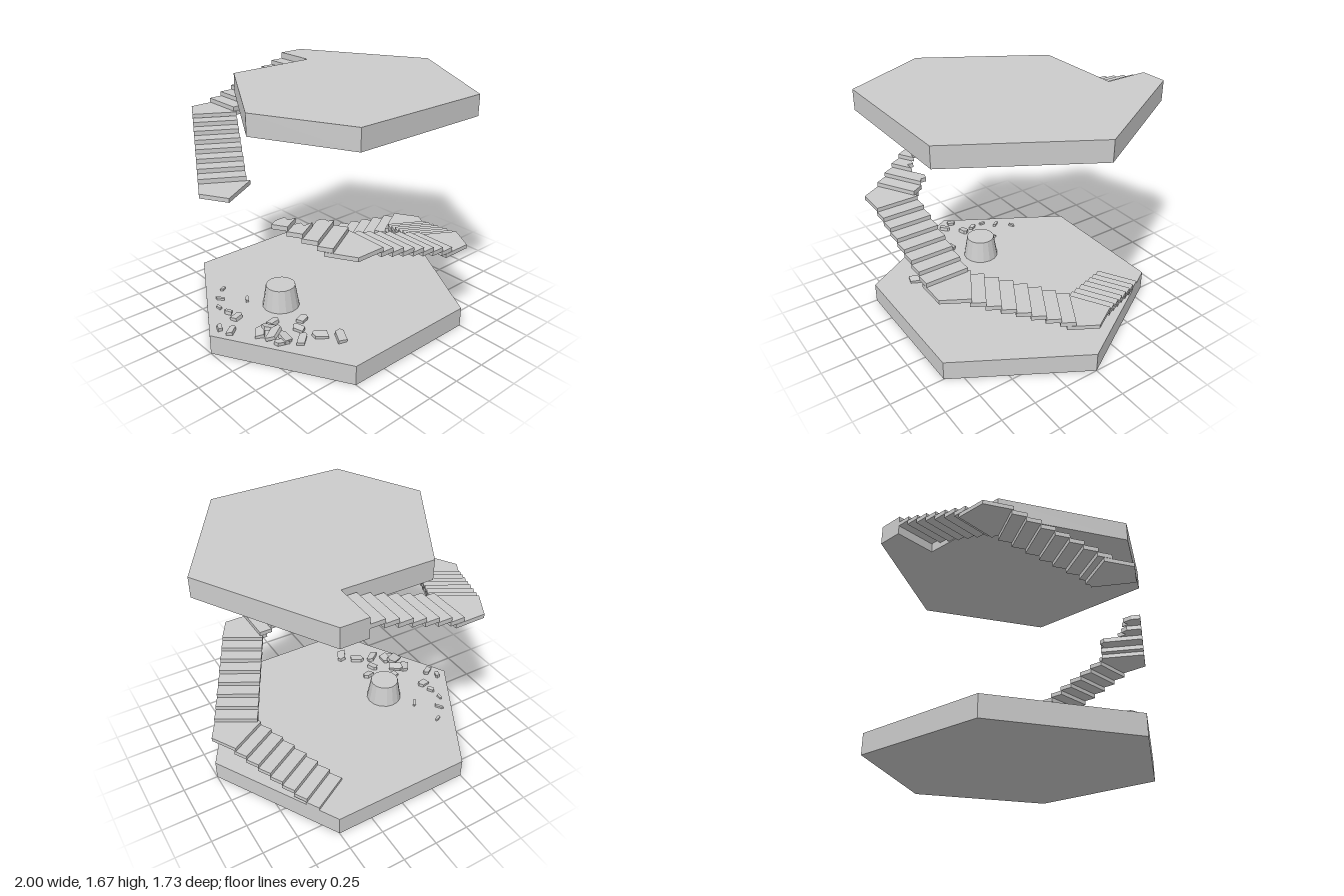
import * as THREE from 'three';

const H = Math.sqrt(3) / 2;
// hexagon corners [x, z], in the order the stair climbs past them
const HEX = [[0.5, -H], [1, 0], [0.5, H], [-0.5, H], [-1, 0], [-0.5, -H]];
const STAIR_WIDTH = 0.3;
const RISE = 0.0318;

const material = new THREE.MeshStandardMaterial({ color: 0xcccccc, flatShading: true });

function addMesh(parent, name, geometry) {
  const mesh = new THREE.Mesh(geometry, material);
  mesh.name = name;
  parent.add(mesh);
  return mesh;
}

// upright prism over an outline of [x, z] points
function prism(points, bottom, top) {
  const shape = new THREE.Shape(points.map(([x, z]) => new THREE.Vector2(x, -z)));
  return new THREE.ExtrudeGeometry(shape, { depth: top - bottom, bevelEnabled: false })
    .rotateX(-Math.PI / 2).translate(0, bottom, 0);
}

// point at distance d along hexagon side s, moved w towards the middle
function onSide(s, d, w) {
  const [ax, az] = HEX[s % 6], [bx, bz] = HEX[(s + 1) % 6];
  const dx = bx - ax, dz = bz - az;
  return [ax + dx * d - dz * w, az + dz * d + dx * w];
}

function createStairs() {
  const stairs = new THREE.Group();
  stairs.name = 'stairs';
  // broken ends of the treads beside the gap: inner lengths at four places
  const broken = {
    26: [0.3, 0.28, 0.3, 0.27],
    27: [0.17, 0.11, 0.14, 0.1],
    28: [0.13, 0.09, 0.12, 0.06],
  };
  for (let s = 0; s < 6; s++) {
    for (let k = 0; k < 8; k++) {
      const n = s * 8 + k;
      if (n === 0 || (n > 28 && n < 32)) continue; // floor level, and the collapsed gap
      const top = 0.13 + RISE * n;
      if (k === 0) {
        // corner landing
        const outline = [
          HEX[s], onSide(s, 0.21, 0), onSide(s, 0.21, STAIR_WIDTH), onSide(s, 0.173, STAIR_WIDTH),
          onSide(s - 1, 0.8, STAIR_WIDTH), onSide(s - 1, 0.8, 0),
        ];
        addMesh(stairs, 'cornerLanding', prism(outline, top - 0.028, top));
      } else {
        const d = 0.153 + 0.0934 * (k - 1);
        const ends = broken[n] || [STAIR_WIDTH, STAIR_WIDTH];
        const inner = ends.map((w, i) => onSide(s, d + 0.1 * i / (ends.length - 1), w));
        const outline = [onSide(s, d, 0), ...inner, onSide(s, d + 0.1, 0)];
        addMesh(stairs, broken[n] ? 'brokenTread' : 'tread', prism(outline, top - 0.03, top));
      }
    }
  }
  return stairs;
}

function createRubble() {
  const rubble = new THREE.Group();
  rubble.name = 'rubble';
  // x, z, length, width, turn, lift
  const pieces = [
    [-0.87, 0.06, 0.09, 0.04, 0.6, 0], [-0.91, -0.02, 0.06, 0.03, 1.2, 0],
    [-0.75, -0.05, 0.08, 0.05, 0.2, 0], [-0.76, -0.14, 0.06, 0.03, 2.1, 0],
    [-0.74, 0.2, 0.11, 0.06, 0.9, 0], [-0.67, 0.22, 0.12, 0.06, 2.4, 0.015],
    [-0.7, 0.3, 0.13, 0.07, 0.4, 0.03], [-0.66, 0.36, 0.11, 0.06, 1.5, 0.01],
    [-0.7, 0.38, 0.1, 0.04, 2.8, 0], [-0.58, 0.44, 0.12, 0.05, 0.7, 0],
    [-0.52, 0.33, 0.09, 0.05, 1.9, 0], [-0.43, 0.26, 0.08, 0.05, 0.3, 0],
    [-0.46, 0.48, 0.11, 0.06, 2.5, 0], [-0.37, 0.58, 0.13, 0.06, 1.1, 0],
    [-0.6, 0.16, 0.08, 0.05, 0.1, 0], [-0.56, -0.2, 0.07, 0.02, 1.0, -0.01],
    [-0.61, -0.43, 0.05, 0.02, 0.5, -0.01], [-0.7, -0.33, 0.07, 0.02, 2.2, -0.01],
    [-0.77, -0.24, 0.05, 0.02, 1.6, -0.01],
  ];
  pieces.forEach(([x, z, length, width, turn, lift], i) => {
    // wedge-ended chip of a broken tread
    const outline = [
      [-length / 2, -width / 2], [length * 0.3, -width / 2],
      [length / 2, width * 0.1], [length * 0.35, width / 2], [-length * 0.4, width / 2],
    ];
    const chip = addMesh(rubble, 'stoneChip', prism(outline, -0.013, 0.013));
    chip.position.set(x, 0.153 + lift, z);
    const tilt = lift < 0 ? 0 : 0.12 + lift * 8;
    chip.rotation.set(i % 2 ? tilt : -tilt, turn, tilt * 0.6, 'YXZ');
  });
  return rubble;
}

export function createModel() {
  const model = new THREE.Group();
  model.name = 'brokenStairTower';

  addMesh(model, 'lowerFloor', prism(HEX, 0, 0.14));

  // upper floor, cut away where the stair comes up
  const upper = [
    [0.5, -H], [1, 0], [0.5, H], [-0.5, H],
    [-0.81, 0.25], [-0.335, -0.56], [0.313, -0.56], [0.313, -H],
  ];
  addMesh(model, 'upperFloor', prism(upper, 1.53, 1.67));

  const pedestal = addMesh(model, 'pedestal', new THREE.CylinderGeometry(0.103, 0.13, 0.16, 16));
  pedestal.position.set(-0.41, 0.22, 0);

  model.add(createStairs(), createRubble());
  return model;
}
